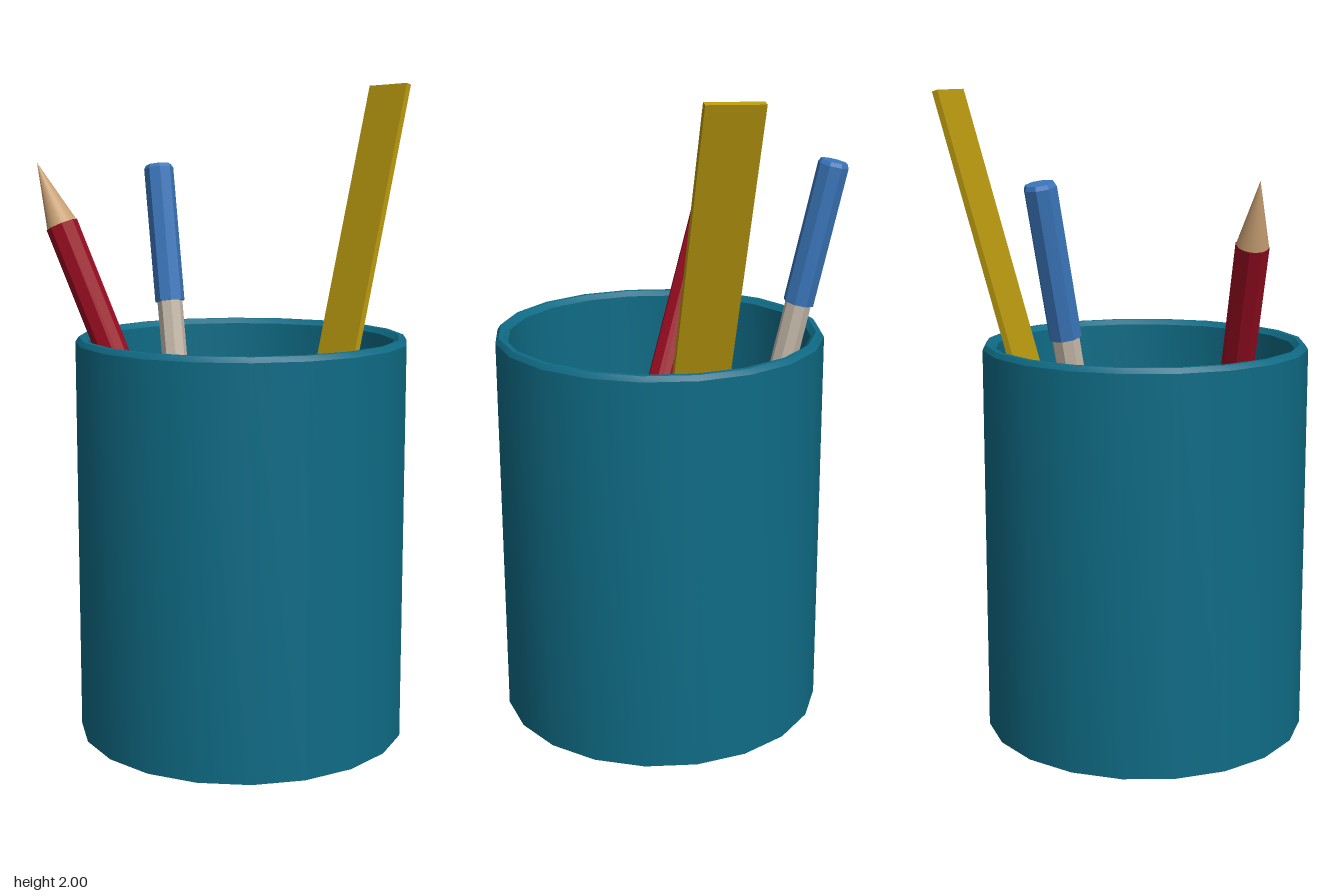
import * as THREE from 'three';
import { toCreasedNormals } from 'three/addons/utils/BufferGeometryUtils.js';

const V = (x, y, z) => new THREE.Vector3(x, y, z);

function material(name, color, side = THREE.FrontSide) {
  const m = new THREE.MeshStandardMaterial({ color, side });
  m.name = name;
  return m;
}

function mesh(name, geometry, mat) {
  const m = new THREE.Mesh(geometry, mat);
  m.name = name;
  return m;
}

// Profile of [radius, height] pairs turned around y, with crisp edges
function turned(profile, sides, crease) {
  const pts = profile.map(([r, y]) => new THREE.Vector2(r, y));
  return toCreasedNormals(new THREE.LatheGeometry(pts, sides), crease);
}

// Eight-sided barrel with flat facets turned towards the axes
function barrel(profile) {
  return turned(profile, 8, 0.3).rotateY(Math.PI / 8);
}

// Stand a group so that its y axis runs from one point towards another
function lean(group, from, to) {
  group.position.copy(from);
  group.quaternion.setFromUnitVectors(V(0, 1, 0), to.clone().sub(from).normalize());
  return from.distanceTo(to);
}

export function createModel() {
  const teal = material('teal', 0x0f6c86, THREE.DoubleSide);
  const red = material('red', 0x9c0d22);
  const wood = material('wood', 0xcba274);
  const blue = material('blue', 0x3a76bb);
  const grey = material('warm grey', 0xc6baaa);
  const yellow = material('yellow', 0xb8980f);

  const model = new THREE.Group();
  model.name = 'penHolder';

  // Cup: outer wall, bevelled rim, inner wall and raised floor, open underneath
  const cup = mesh('cup', turned([
    [0.505, 0], [0.505, 1.215], [0.495, 1.23], [0.48, 1.23], [0.465, 1.215], [0.465, 0.11], [0, 0.11],
  ], 20, 0.5), teal);
  cup.position.set(0.03, 0, 0.06);
  model.add(cup);

  // Pencil: faceted barrel with a slightly thicker rounded end, and a bare wood cone
  const pencil = new THREE.Group();
  pencil.name = 'pencil';
  const pencilLength = lean(pencil, V(0.105, 0.18, 0.27), V(-0.54, 1.75, 0.27));
  const coneLength = 0.195;
  pencil.add(mesh('pencilBarrel', barrel([
    [0, 0], [0.038, 0], [0.051, 0.02], [0.051, 0.12], [0.048, 0.14],
    [0.048, pencilLength - coneLength], [0, pencilLength - coneLength],
  ]), red));
  const cone = new THREE.ConeGeometry(0.046, coneLength, 24, 1, true);
  cone.translate(0, pencilLength - coneLength / 2, 0);
  pencil.add(mesh('pencilPoint', cone, wood));
  model.add(pencil);

  // Pen: grey faceted barrel under a wider blue cap
  const pen = new THREE.Group();
  pen.name = 'pen';
  const penLength = lean(pen, V(-0.135, 0.17, -0.035), V(-0.35, 1.738, -0.308));
  const capStart = penLength - 0.45;
  pen.add(mesh('penBarrel', barrel([
    [0, 0], [0.034, 0], [0.041, 0.012], [0.041, capStart + 0.02],
  ]), grey));
  pen.add(mesh('penCap', barrel([
    [0, capStart], [0.048, capStart], [0.048, penLength - 0.012], [0.042, penLength], [0, penLength],
  ]), blue));
  model.add(pen);

  // Ruler: thin flat strip leaning on the back rim
  const along = V(0.14, 1, -0.255).normalize();
  const across = V(0.832, 0.025, 0.555);
  across.addScaledVector(along, -across.dot(along)).normalize();
  const rulerLength = 1.94;
  const ruler = mesh('ruler', new THREE.BoxGeometry(0.165, rulerLength, 0.02), yellow);
  ruler.quaternion.setFromRotationMatrix(
    new THREE.Matrix4().makeBasis(across, along, across.clone().cross(along)));
  ruler.position.set(0.38, 1.995, -0.511).addScaledVector(along, -rulerLength / 2);
  model.add(ruler);

  return model;
}
